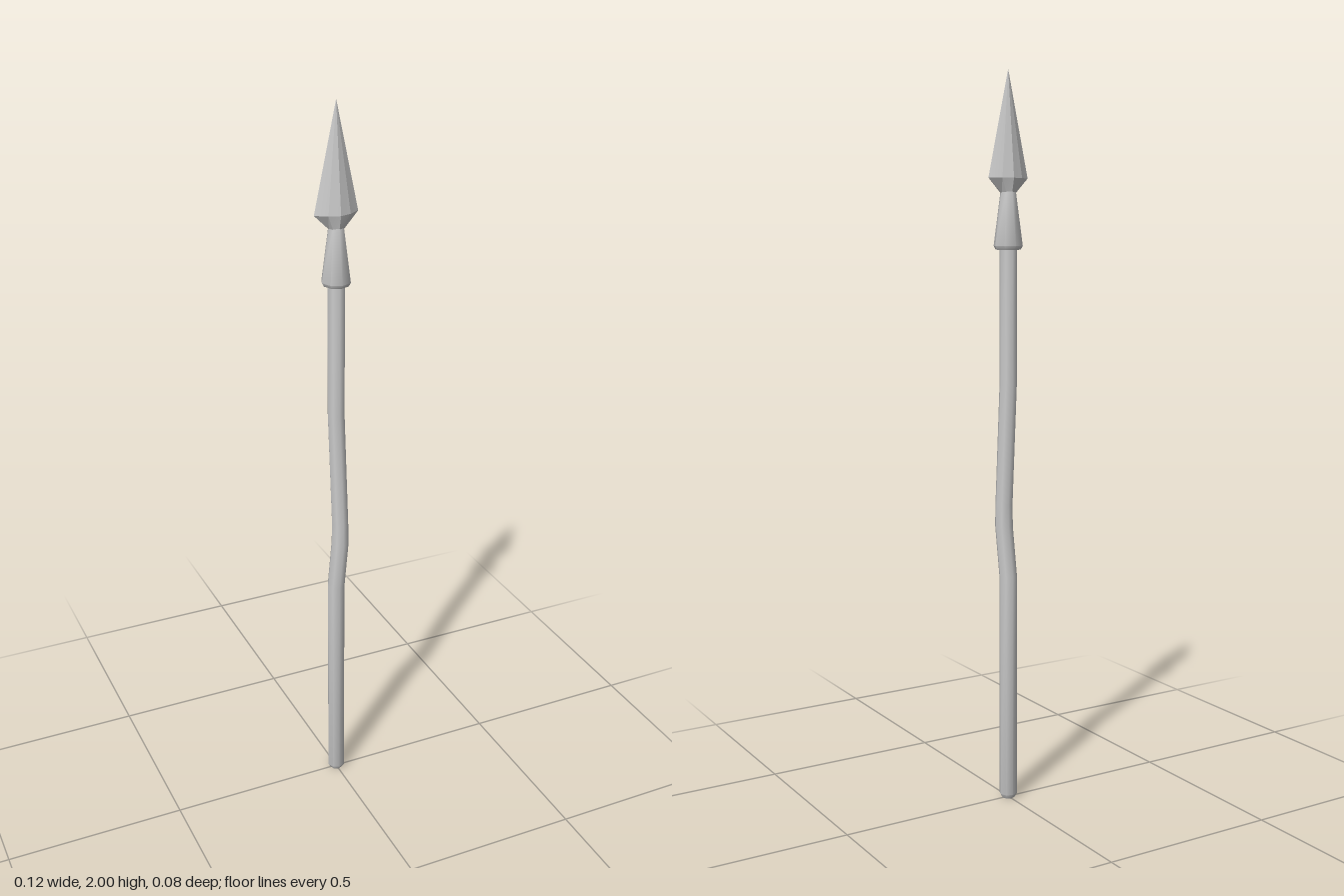
import * as THREE from 'three';
import { toCreasedNormals } from 'three/addons/utils/BufferGeometryUtils.js';

const SIDES = 8;

// Skin a stack of eight-sided rings, bottom to top, with closed ends.
// diagX and diagZ set how far the diagonal corners reach (0.71 is round).
function loft(rings, crease) {
  const points = [];
  const index = [];
  for (const { y, rx, rz = rx, x = 0, z = 0, diagX = 0.71, diagZ = 0.71 } of rings) {
    for (let i = 0; i < SIDES; i++) {
      const a = (i / SIDES) * Math.PI * 2;
      const c = Math.cos(a), s = Math.sin(a);
      const diagonal = i % 2 === 1;
      points.push(
        x + rx * (diagonal ? Math.sign(c) * diagX : c),
        y,
        z + rz * (diagonal ? Math.sign(s) * diagZ : s)
      );
    }
  }
  for (let r = 0; r < rings.length - 1; r++) {
    for (let i = 0; i < SIDES; i++) {
      const a = r * SIDES + i, b = r * SIDES + (i + 1) % SIDES;
      index.push(a, a + SIDES, b, b, a + SIDES, b + SIDES);
    }
  }
  const top = (rings.length - 1) * SIDES;
  for (let i = 1; i < SIDES - 1; i++) {
    index.push(0, i, i + 1, top, top + i + 1, top + i);
  }
  const geometry = new THREE.BufferGeometry();
  geometry.setAttribute('position', new THREE.Float32BufferAttribute(points, 3));
  geometry.setIndex(index);
  return toCreasedNormals(geometry, crease);
}

export function createModel() {
  const group = new THREE.Group();
  const material = new THREE.MeshStandardMaterial({ color: 0xcccccc });
  const add = (name, rings, crease) => {
    const mesh = new THREE.Mesh(loft(rings, crease), material);
    mesh.name = name;
    group.add(mesh);
  };

  // Wooden shaft with a slight kink below the middle
  add('shaft', [
    { y: 0, rx: 0.018 },
    { y: 0.012, rx: 0.025 },
    { y: 0.64, rx: 0.025 },
    { y: 0.78, rx: 0.025, x: 0.008, z: 0.009 },
    { y: 0.84, rx: 0.024, x: 0.008, z: 0.009 },
    { y: 1.17, rx: 0.024 },
    { y: 1.56, rx: 0.024 },
  ], 0.83);

  // Flared socket with a bevelled lower rim
  add('socket', [
    { y: 1.532, rx: 0.024 },
    { y: 1.532, rx: 0.034 },
    { y: 1.542, rx: 0.04 },
    { y: 1.685, rx: 0.021 },
  ], 0.83);

  // Flattened blade, widest near its base and tapering to the tip
  add('blade', [
    { y: 1.68, rx: 0.02 },
    { y: 1.72, rx: 0.061, rz: 0.03, diagX: 0.5, diagZ: 0.7 },
    { y: 2, rx: 0.0005, rz: 0.0003, diagX: 0.5, diagZ: 0.7 },
  ], 0.3);

  return group;
}
